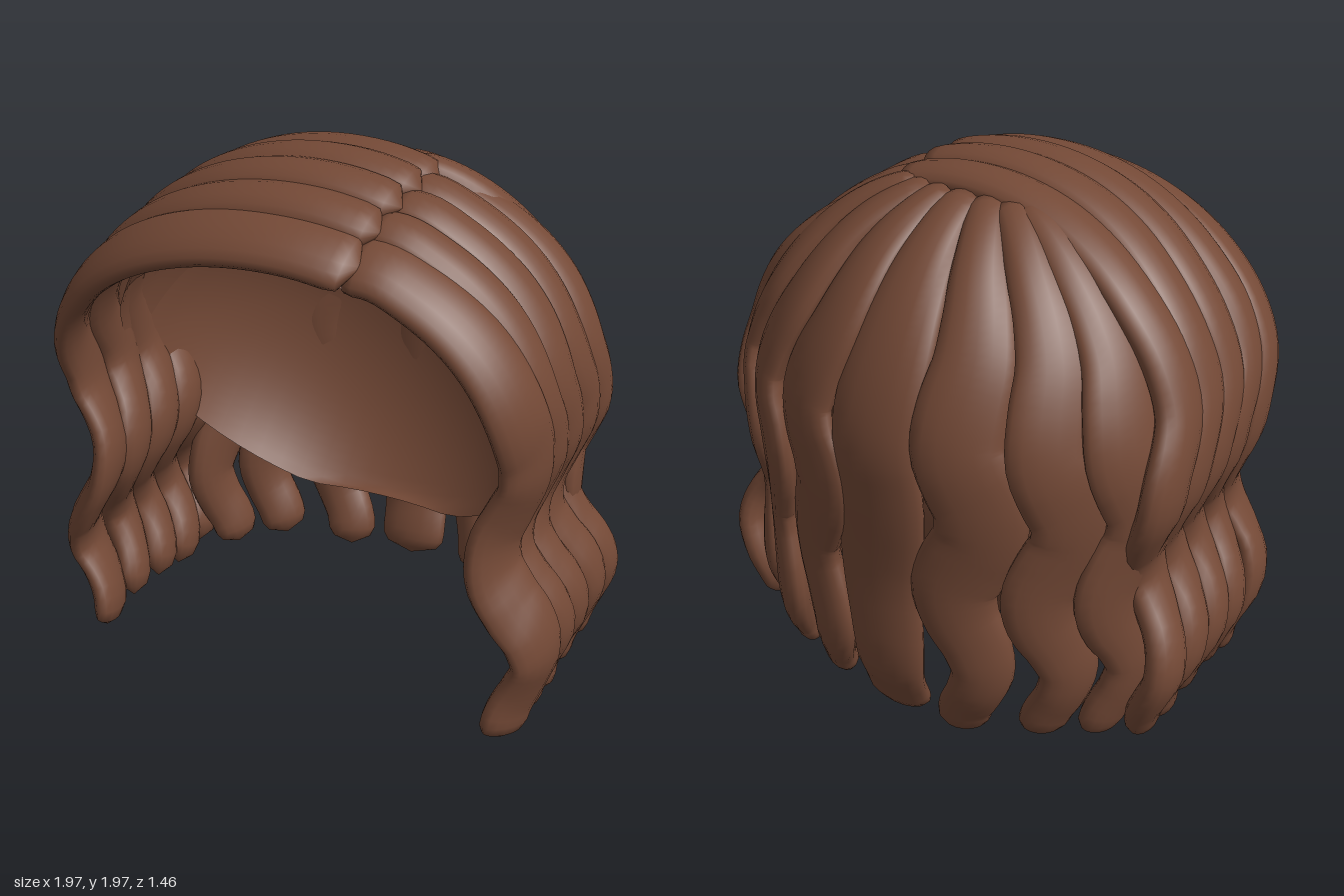
import * as THREE from 'three';

const hair = new THREE.MeshStandardMaterial({ color: 0x744936, side: THREE.DoubleSide });
hair.name = 'brown hair';

// Flattened lock swept along a path; kz sets how much z turns its outward face
function lock(name, points, { width, thick, kz, rootWidth, tipWidth }) {
  const curve = new THREE.CatmullRomCurve3(points);
  const rows = 64, sides = 16, pos = [], index = [];
  for (let i = 0; i <= rows; i++) {
    const t = i / rows;
    const c = curve.getPointAt(t), T = curve.getTangentAt(t);
    const N = new THREE.Vector3(c.x, Math.max(c.y - 1.15, 0) * 1.1, (c.z + 0.02) * kz);
    N.addScaledVector(T, -N.dot(T)).normalize();
    const B = new THREE.Vector3().crossVectors(T, N);
    // rounded ends, widening from the root and narrowing at the tip
    const end = Math.min(1, t / 0.025, (1 - t) / 0.04);
    const round = Math.sqrt(1 - (1 - end) ** 2);
    const grow = THREE.MathUtils.lerp(rootWidth, 1, THREE.MathUtils.smoothstep(t, 0, 0.4));
    const taper = THREE.MathUtils.lerp(1, tipWidth, THREE.MathUtils.smoothstep(t, 0.6, 0.95));
    const w = width / 2 * grow * taper * round, h = thick / 2 * round;
    for (let j = 0; j < sides; j++) {
      const a = j / sides * Math.PI * 2;
      const p = c.clone().addScaledVector(B, w * Math.cos(a)).addScaledVector(N, h * Math.sin(a));
      pos.push(p.x, p.y, p.z);
      if (i < rows) {
        const k = i * sides, n = (j + 1) % sides;
        index.push(k + j, k + sides + j, k + n, k + n, k + sides + j, k + sides + n);
      }
    }
  }
  const g = new THREE.BufferGeometry();
  g.setAttribute('position', new THREE.Float32BufferAttribute(pos, 3));
  g.setIndex(index);
  g.computeVertexNormals();
  const mesh = new THREE.Mesh(g, hair);
  mesh.name = name;
  return mesh;
}

const wave = (y, top, length) => Math.cos((y - top) / length * Math.PI * 2);

// Lock running from the parting over the head and down one side
function sideLock(side, i) {
  const pts = [], right = side > 0;
  const z0 = right ? 0.53 - 0.16 * i : 0.58 - 0.15 * i;
  const z1 = i === 0 ? 0.43 : 0.42 - 0.165 * i;
  const crown = 1.93 - 0.6 * (z0 - 0.12) ** 2 - (right ? 0.03 : 0);
  const start = right ? 0.3 - 0.06 * Math.max(0, i - 2) : -0.38;
  const bow = right ? 0 : 0.08 - 0.01 * i;
  const reach = right ? 0.845 : 0.885;
  const phase = 1.36 + 0.04 * Math.sin(i * 2.3 + side);
  const sway = (y) => (i === 0 ? 0.025 : 0.045) * wave(y, phase, 0.7);
  for (let k = 0; k <= 8; k++) {
    const s = k / 8, a = THREE.MathUtils.lerp(start, Math.PI / 2, s);
    const y = 1.15 + (crown - 1.15) * Math.cos(a) - (right && k === 0 ? 0.03 : 0);
    const z = z0 + (z1 - z0) * s ** 1.5 + bow * Math.sin(Math.PI * s);
    pts.push(new THREE.Vector3(side * reach * Math.sin(a), y, z + s * s * sway(y)));
  }
  const bottom = 0.045 + 0.02 * Math.sin(i * 1.9 + side);
  for (let k = 1; k <= 10; k++) {
    const s = k / 10, y = THREE.MathUtils.lerp(1.15, bottom, s);
    const x = THREE.MathUtils.lerp(reach - 0.05, 0.865, s) + (0.05 + 0.04 * s) * wave(y, 1.13, 0.71)
      + 0.05 * THREE.MathUtils.smoothstep(s, 0.75, 1);
    pts.push(new THREE.Vector3(side * x, y, z1 + sway(y) + (i === 0 ? 0.03 * s * s : 0)));
  }
  return lock('sideLock', pts, {
    width: i === 0 ? 0.27 : 0.23, thick: i === 0 ? 0.105 : 0.12,
    kz: i === 0 ? 0.55 : 0.4, rootWidth: 0.9, tipWidth: i === 0 ? 0.95 : 0.8,
  });
}

// Lock fanning from the crown down the back
function backLock(deg, i) {
  const pts = [], f = deg * Math.PI / 180, sx = Math.sin(f), cz = Math.cos(f);
  const amp = deg === 0 ? 0.012 : 0.05;
  const place = (rx, rz, y, sway) => new THREE.Vector3(
    0.86 * sx * rx + sway * cz, y, -0.05 - 0.615 * cz * rz + sway * sx);
  for (let k = 0; k <= 8; k++) {
    const a = k / 8 * Math.PI / 2, r = Math.sin(a) ** 1.2;
    const y = 1.15 + 0.73 * Math.cos(a) ** 1.2;
    pts.push(place(0.25 + 0.75 * r, 0.04 + 0.96 * r, y, amp * (k / 8) ** 2 * wave(y, 1.3, 0.62)));
  }
  const bottom = 0.04 + 0.02 * Math.sin(i * 2.1);
  for (let k = 1; k <= 10; k++) {
    const s = k / 10, y = THREE.MathUtils.lerp(1.15, bottom, s);
    const r = 1 - 0.05 * s + 0.03 * (wave(y, 1.13, 0.75) - 1) * s;
    // tips curl in towards the neck
    const curl = 0.1 * THREE.MathUtils.smoothstep(s, 0.75, 1);
    pts.push(place(r, r - curl, y, amp * wave(y, 1.3, 0.62)));
  }
  return lock('backLock', pts, {
    width: deg === 0 ? 0.35 : 0.32, thick: 0.12, kz: 1.1, rootWidth: 0.5, tipWidth: deg === 0 ? 0.8 : 0.62,
  });
}

// Smooth inner shell, open on a slant from the forehead to the nape
function cap() {
  const g = new THREE.SphereGeometry(1, 56, 32, 0, Math.PI * 2, 0, 1.62);
  g.rotateX(-0.86);
  const p = g.attributes.position;
  for (let i = 0; i < p.count; i++) {
    const x = p.getX(i), y = p.getY(i), z = p.getZ(i);
    const rise = y > 0 ? 0.83 + 0.06 * Math.min(z, 0) : 0.94;
    p.setXYZ(i, x * 0.82 - 0.02, Math.max(0.41, 1.1 + y * rise), 0.14 + z * (z > 0 ? 0.65 : 0.75));
  }
  g.computeVertexNormals();
  const mesh = new THREE.Mesh(g, hair);
  mesh.name = 'innerCap';
  return mesh;
}

export function createModel() {
  const model = new THREE.Group();
  model.name = 'wavyHair';
  model.add(cap());
  for (const side of [-1, 1]) {
    for (let i = 0; i < 5; i++) model.add(sideLock(side, i));
  }
  [-66, -46, -23, 0, 21, 42, 64].forEach((deg, i) => model.add(backLock(deg, i)));
  return model;
}
